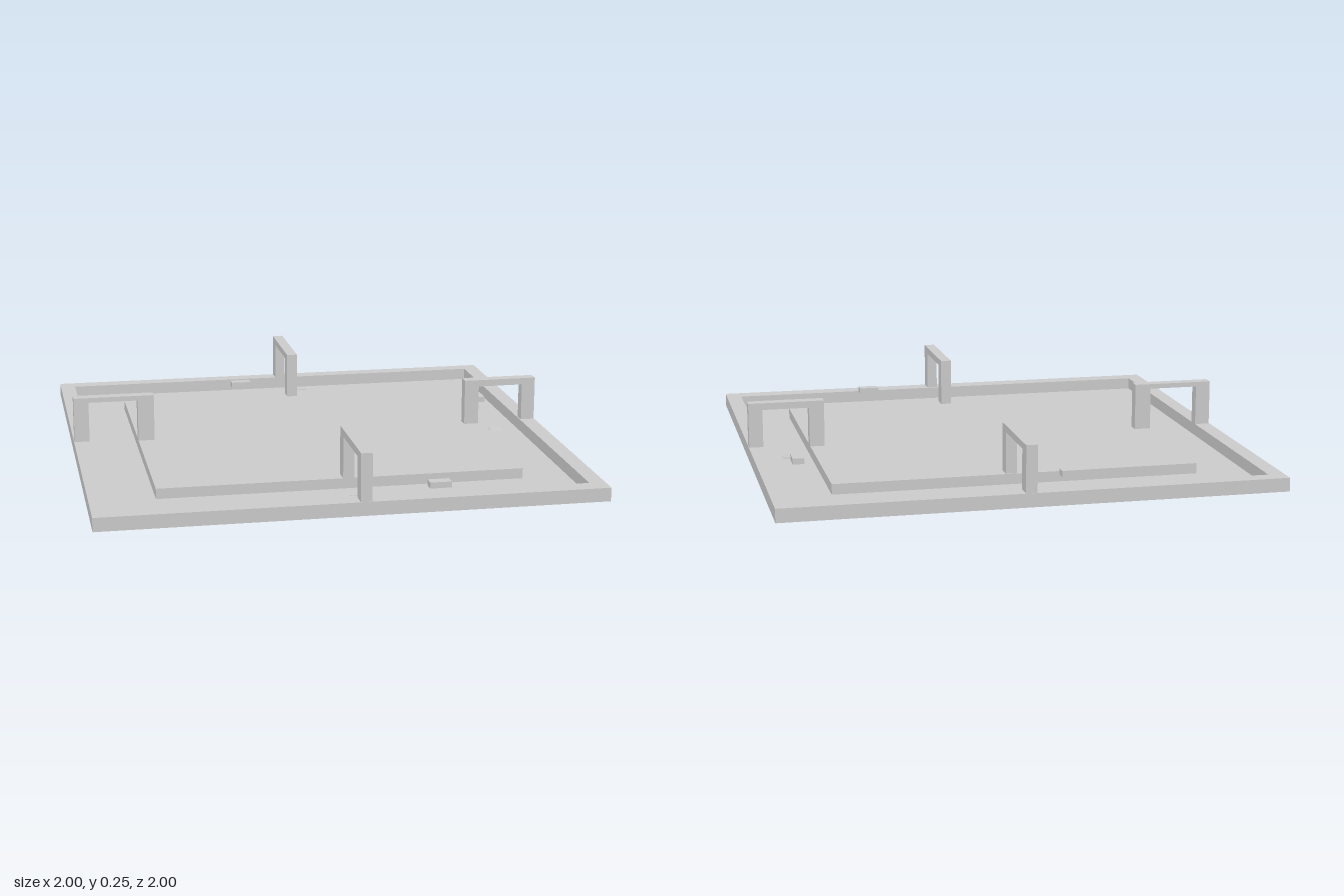
import * as THREE from 'three';

export function createModel() {
  const model = new THREE.Group();
  const material = new THREE.MeshStandardMaterial({ color: 0xcccccc, flatShading: true });

  // Box given by its minimum and maximum corners
  function box(name, min, max, parent = model) {
    const size = max.map((v, i) => v - min[i]);
    const mesh = new THREE.Mesh(new THREE.BoxGeometry(...size), material);
    mesh.position.set(...max.map((v, i) => (v + min[i]) / 2));
    mesh.name = name;
    parent.add(mesh);
    return mesh;
  }

  // Thin floor and raised centre platform
  const floorTop = 0.008;
  box('floor', [-0.97, 0.003, -0.97], [0.97, floorTop, 0.97]);
  box('platform', [-0.73, 0.005, -0.675], [0.745, 0.05, 0.665]);

  // Outer rim: a square ring with a slightly off-centre opening
  const outline = new THREE.Shape([[-1, -1], [1, -1], [1, 1], [-1, 1]].map(p => new THREE.Vector2(...p)));
  outline.holes.push(new THREE.Path(
    [[-0.935, -0.925], [-0.935, 0.935], [0.935, 0.935], [0.935, -0.925]].map(p => new THREE.Vector2(...p))));
  const rim = new THREE.Mesh(
    new THREE.ExtrudeGeometry(outline, { depth: 0.055, bevelEnabled: false }).rotateX(-Math.PI / 2), material);
  rim.position.y = 0.003;
  rim.name = 'rim';
  model.add(rim);

  // Gates bridging the track: two posts and a beam, running along x or z
  function gate(name, axis, inner, outer, side, height, beamBottom) {
    const group = new THREE.Group();
    group.name = name;
    const part = (label, a, b, y0, y1) => {
      const lo = Math.min(a, b), hi = Math.max(a, b);
      if (axis === 'x') box(label, [lo, y0, side[0]], [hi, y1, side[1]], group);
      else box(label, [side[0], y0, lo], [side[1], y1, hi], group);
    };
    part('innerPost', inner[0], inner[1], 0.045, height);
    part('outerPost', outer[0], outer[1], 0.05, height);
    part('beam', inner[1], outer[0], beamBottom, height);
    model.add(group);
  }
  gate('leftGate', 'x', [0.685, 0.747], [0.94, 0.998], [-0.06, -0.012], 0.243, 0.215);
  gate('rightGate', 'x', [-0.662, -0.73], [-0.935, -0.997], [-0.06, -0.012], 0.245, 0.225);
  gate('frontGate', 'z', [0.605, 0.667], [0.935, 0.998], [0.01, 0.055], 0.25, 0.22);
  gate('backGate', 'z', [-0.61, -0.67], [-0.935, -0.998], [0.01, 0.055], 0.245, 0.217);

  // Small blocks hovering over the track: centre x, z and half sizes
  for (const [x, z, hx, hz] of [
    [-0.18, -0.787, 0.043, 0.022],
    [0.348, 0.873, 0.043, 0.022],
    [0.836, -0.35, 0.023, 0.04],
  ]) box('trackBlock', [x - hx, 0.062, z - hz], [x + hx, 0.086, z + hz]);

  // Tilted markers sunk almost flush into the track floor
  for (const [x, z, hx, hz, tiltX, tiltZ] of [
    [0.125, -0.892, 0.034, 0.022, 0, -0.05],
    [0.04, 0.74, 0.035, 0.024, 0, 0.05],
    [0.836, -0.042, 0.025, 0.035, 0.05, 0],
  ]) {
    const marker = box('sunkenMarker', [x - hx, 0.003, z - hz], [x + hx, 0.01, z + hz]);
    marker.rotation.set(tiltX, 0, tiltZ);
  }

  return model;
}
